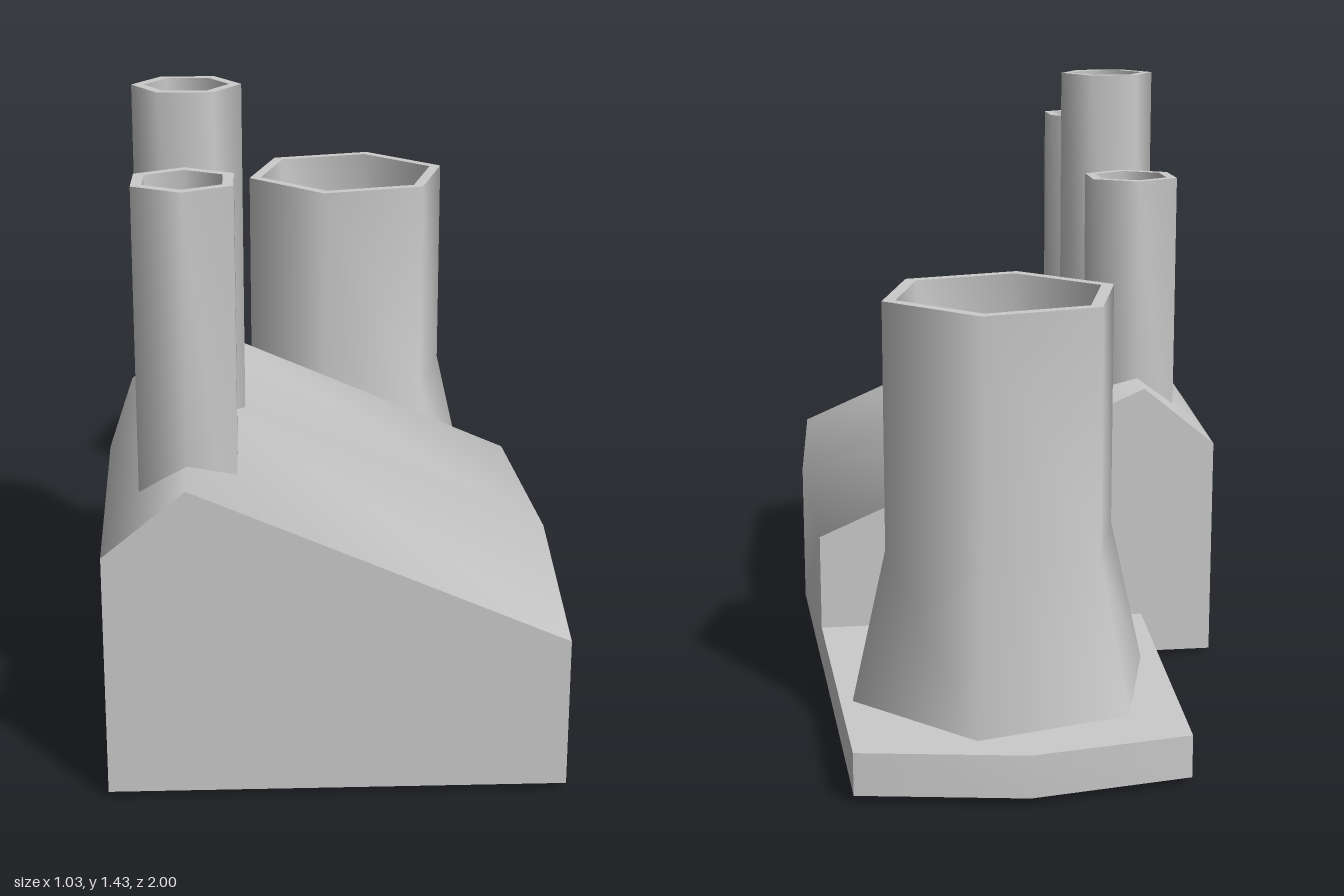
import * as THREE from 'three';
import { toCreasedNormals } from 'three/addons/utils/BufferGeometryUtils.js';

const CREASE = 1.2; // softens the six-sided shafts and roof folds, keeps right angles sharp
const material = new THREE.MeshStandardMaterial({ color: 0xcccccc, side: THREE.DoubleSide });

function part(name, geometry) {
  const mesh = new THREE.Mesh(toCreasedNormals(geometry, CREASE), material);
  mesh.name = name;
  return mesh;
}

// Skin a row of matching sections (counter-clockwise seen from the first end)
function loft(sections, closed, capLast) {
  const n = sections[0].length;
  const index = [];
  for (let i = 0; i < sections.length - 1; i++) {
    for (let j = 0; j < (closed ? n : n - 1); j++) {
      const k = (j + 1) % n;
      const a = i * n + j, b = i * n + k;
      index.push(a, b + n, b, a, a + n, b + n);
    }
  }
  const last = (sections.length - 1) * n;
  for (let j = 1; j < n - 1; j++) {
    index.push(0, j, j + 1);
    if (capLast) index.push(last, last + j + 1, last + j);
  }
  const geometry = new THREE.BufferGeometry();
  geometry.setAttribute('position', new THREE.Float32BufferAttribute(sections.flat(2), 3));
  geometry.setIndex(index);
  return geometry;
}

// Six-sided hollow shaft; the profile runs up the outside and down the inside
function hexShaft(name, profile, turn, x, z) {
  const points = profile.map(([r, y]) => new THREE.Vector2(r, y));
  const mesh = part(name, new THREE.LatheGeometry(points, 6, turn));
  mesh.position.set(x, 0, z);
  return mesh;
}

export function createModel() {
  const group = new THREE.Group();

  // Hall: lopsided gable section, slightly swollen at mid length, open below
  const endProfile = [[0.485, 0.015], [0.485, 0.35], [-0.32, 0.7], [-0.497, 0.555], [-0.497, 0.015]];
  const midProfile = [[0.513, 0], [0.513, 0.362], [-0.32, 0.725], [-0.515, 0.578], [-0.51, 0]];
  const section = (profile, z) => profile.map(([x, y]) => [x, y, z]);
  group.add(part('hall', loft([
    section(endProfile, 1), section(midProfile, 0.4), section(endProfile, -0.18),
  ], false, true)));

  // Low plinth behind the hall with a pointed rear edge, open below
  const outline = [[0.485, -0.18], [0.445, -0.94], [0.075, -1], [-0.285, -0.94], [-0.32, -0.18]];
  const level = (y) => outline.map(([x, z]) => [x, y, z]);
  group.add(part('plinth', loft([level(0.115), level(0.018)], true, false)));

  // Cooling tower with flared foot
  group.add(hexShaft('coolingTower', [
    [0.36, 0.11], [0.277, 0.46], [0.277, 1.022], [0.245, 1.022], [0.245, 0.46], [0, 0.4],
  ], Math.PI / 4, 0.085, -0.565));

  // Row of chimneys along the ridge, reaching down inside the hall
  const chimneys = [[0.75, 1.293, 0], [0.4, 1.432, Math.PI / 6], [0.04, 1.2, 0]];
  for (const [z, top, turn] of chimneys) {
    group.add(hexShaft('chimney', [
      [0, 0.32], [0.122, 0.32], [0.122, top], [0.095, top], [0.095, top - 0.4], [0, top - 0.4],
    ], turn, -0.32, z));
  }

  return group;
}
